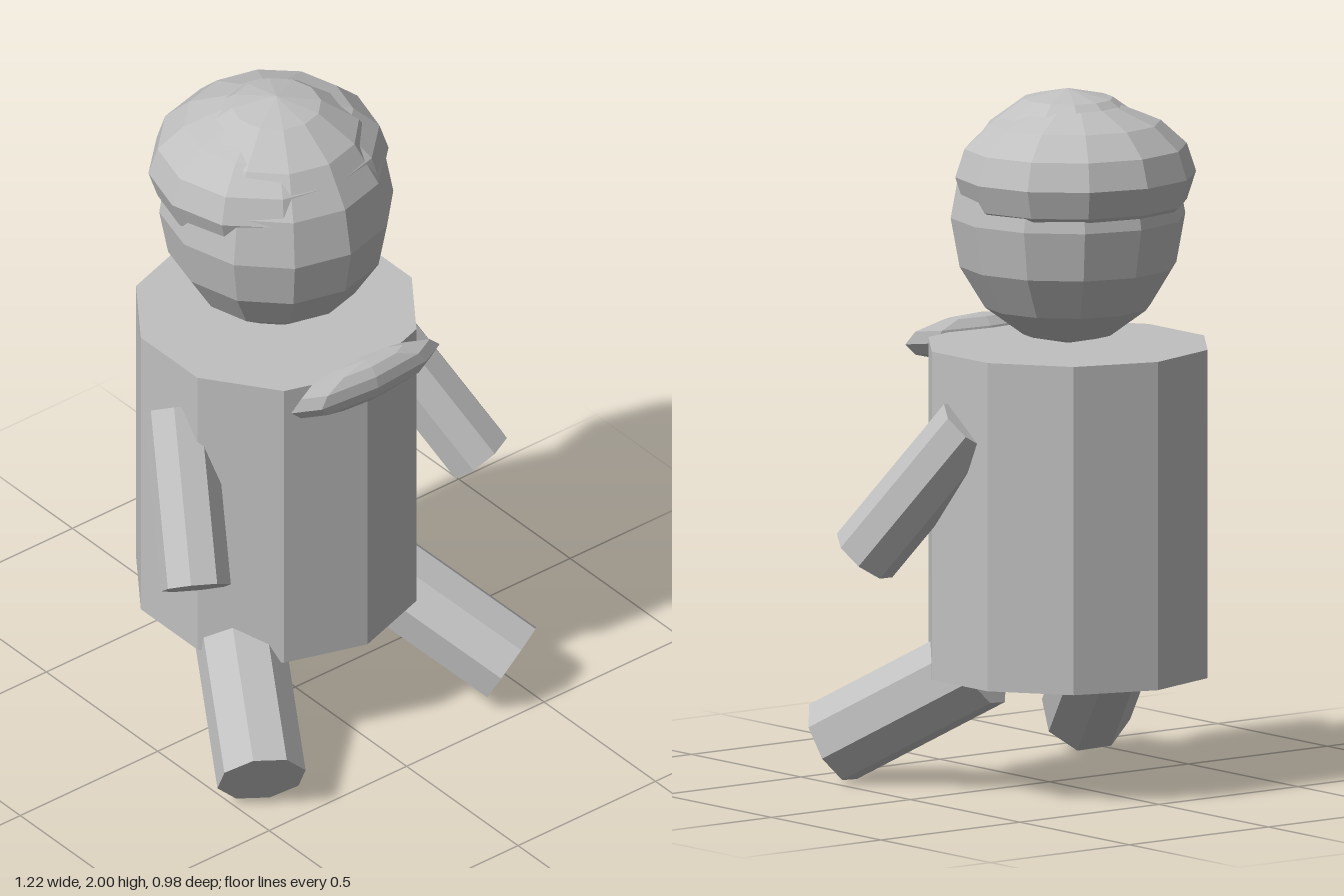
import * as THREE from 'three';

export function createModel() {
  const model = new THREE.Group();
  const grey = new THREE.MeshStandardMaterial({ color: 0xc0c0c0, flatShading: true });
  grey.name = 'grey';

  function add(name, geometry, x, y, z) {
    const mesh = new THREE.Mesh(geometry, grey);
    mesh.name = name;
    mesh.position.set(x, y, z);
    model.add(mesh);
    return mesh;
  }

  // Faceted ellipsoid with half-sizes rx, ry, rz
  const ellipsoid = (rx, ry, rz, sides, rings) =>
    new THREE.SphereGeometry(1, sides, rings).scale(rx, ry, rz);

  // Straight faceted limb between two points
  function limb(name, from, to, radius) {
    const a = new THREE.Vector3(...from);
    const b = new THREE.Vector3(...to);
    const dir = b.clone().sub(a);
    const mid = a.clone().add(b).multiplyScalar(0.5);
    const mesh = add(name, new THREE.CylinderGeometry(radius, radius, dir.length(), 8), mid.x, mid.y, mid.z);
    mesh.quaternion.setFromUnitVectors(new THREE.Vector3(0, -1, 0), dir.normalize());
  }

  // Torso, head, hair cap and collar bow
  add('body', new THREE.CylinderGeometry(0.41, 0.41, 0.94, 10), 0, 0.8, -0.085);
  add('head', ellipsoid(0.335, 0.365, 0.335, 12, 8), 0, 1.637, -0.085);
  add('hair', ellipsoid(0.35, 0.21, 0.33, 12, 8), 0, 1.76, -0.12);
  add('bow', ellipsoid(0.27, 0.066, 0.057, 8, 6), 0, 1.243, 0.315);

  // Arms and legs, mirrored left and right
  for (const [side, s] of [['left', 1], ['right', -1]]) {
    limb(side + 'Arm', [0.35 * s, 1.07, -0.09], [0.515 * s, 0.68, 0.19], 0.1);
    limb(side + 'Leg', [0.23 * s, 0.36, 0.02], [0.455 * s, 0.112, 0.41], 0.128);
  }
  return model;
}
